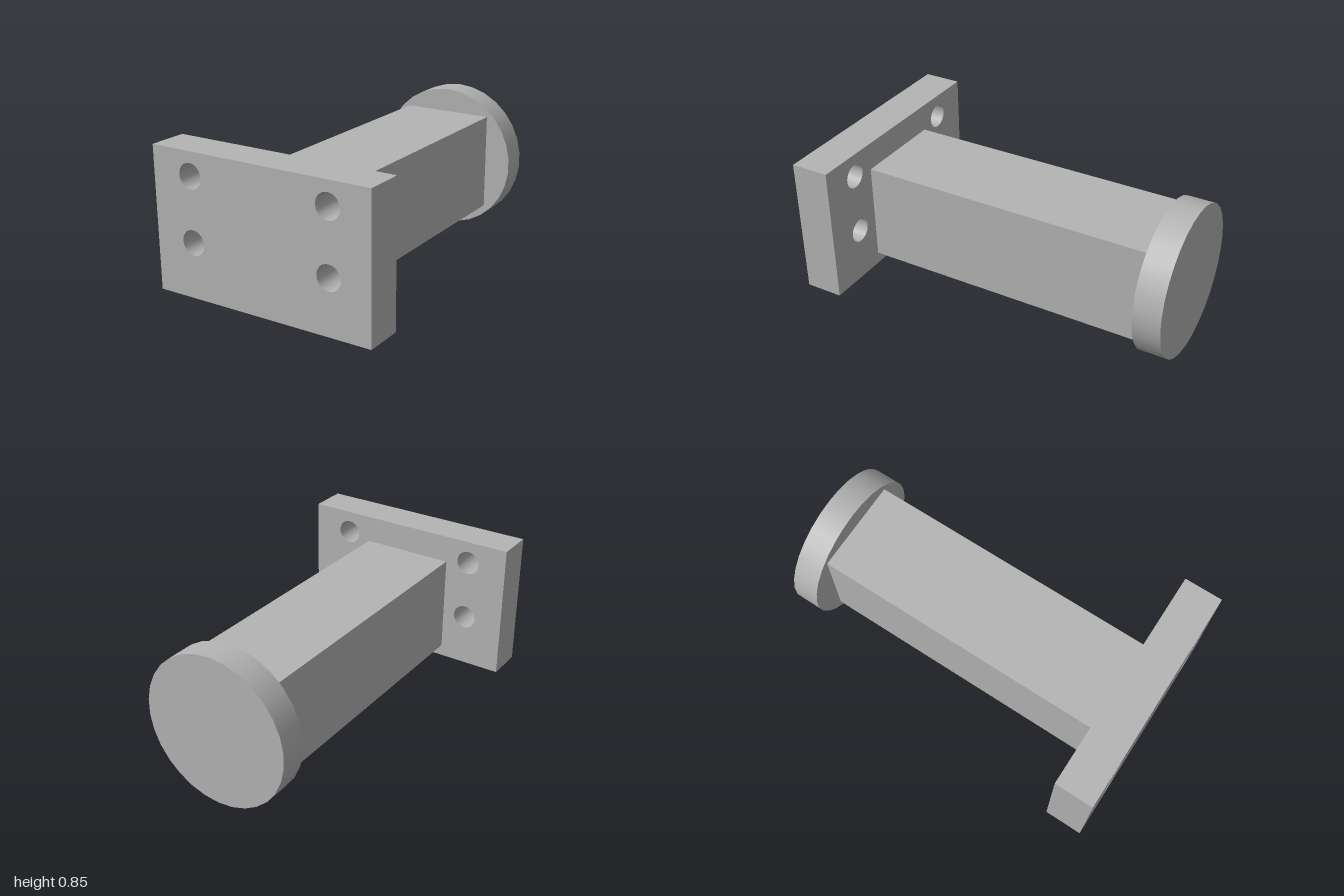
import * as THREE from 'three';
import { toCreasedNormals } from 'three/addons/utils/BufferGeometryUtils.js';

export function createModel() {
  const model = new THREE.Group();
  model.name = 'flangedPost';
  const grey = new THREE.MeshStandardMaterial({ color: 0xb4b4b4 });
  grey.name = 'grey';

  const add = (name, geometry, y, z) => {
    const mesh = new THREE.Mesh(geometry, grey);
    mesh.name = name;
    mesh.position.set(0, y, z);
    model.add(mesh);
  };

  // Mounting plate with four bolt holes through it
  const w = 0.63, bottom = 0.08, top = 0.848;
  const outline = new THREE.Shape([
    new THREE.Vector2(-w, bottom), new THREE.Vector2(w, bottom),
    new THREE.Vector2(w, top), new THREE.Vector2(-w, top),
  ]);
  for (const x of [-0.4, 0.4]) {
    for (const y of [0.378, 0.722]) {
      outline.holes.push(new THREE.Path().absarc(x, y, 0.067, 0, Math.PI * 2, true));
    }
  }
  const plate = new THREE.ExtrudeGeometry(outline, { depth: 0.212, bevelEnabled: false, curveSegments: 32 });
  add('mountingPlate', toCreasedNormals(plate, 0.6), 0, 0.788);

  // Square-edged beam between plate and end disc
  add('beam', new THREE.BoxGeometry(0.525, 0.55, 1.636), 0.42, -0.03);

  // Round end disc
  const disc = new THREE.CylinderGeometry(0.415, 0.415, 0.152, 30);
  disc.rotateX(Math.PI / 2);
  add('endDisc', disc, 0.415, -0.924);

  return model;
}
